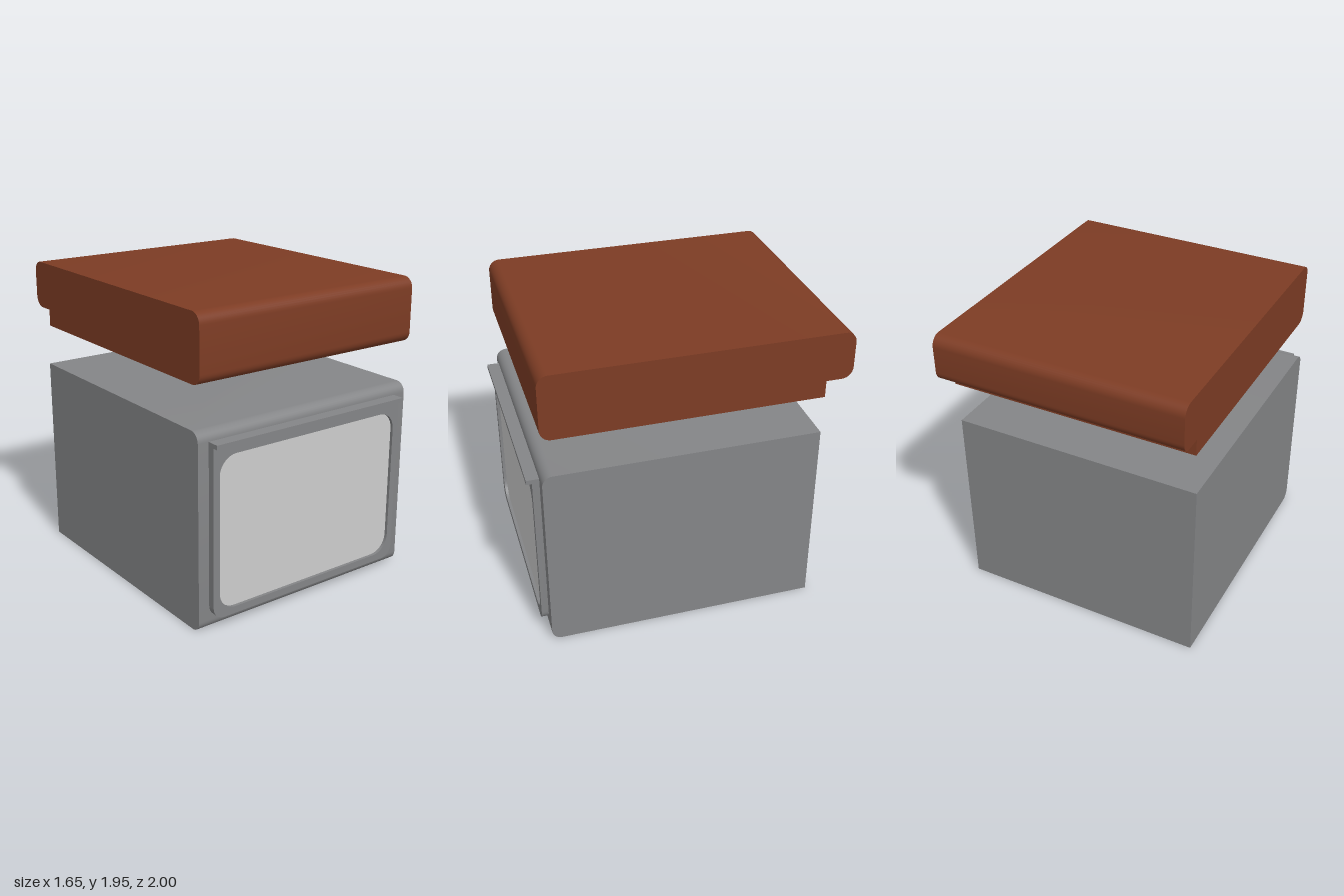
import * as THREE from 'three';
import { toCreasedNormals } from 'three/addons/utils/BufferGeometryUtils.js';

// Closed outline from corners [x, y, radius]; works for right-angled corners
function outline(corners, PathType = THREE.Shape) {
  const path = new PathType();
  const n = corners.length;
  const toward = (a, b, d) => {
    const len = Math.hypot(b[0] - a[0], b[1] - a[1]);
    return [a[0] + (b[0] - a[0]) * d / len, a[1] + (b[1] - a[1]) * d / len];
  };
  corners.forEach((c, i) => {
    const prev = corners[(i + n - 1) % n], next = corners[(i + 1) % n], r = c[2];
    const start = toward(c, prev, r);
    if (i === 0) path.moveTo(...start); else path.lineTo(...start);
    if (r > 0) {
      const k = r * 0.4477;
      path.bezierCurveTo(...toward(c, prev, k), ...toward(c, next, k), ...toward(c, next, r));
    }
  });
  path.closePath();
  return path;
}

const box = (x0, x1, y0, y1, rBottom, rTop) =>
  [[x0, y0, rBottom], [x1, y0, rBottom], [x1, y1, rTop], [x0, y1, rTop]];

function extrude(shape, depth) {
  const geo = new THREE.ExtrudeGeometry(shape, { depth, bevelEnabled: false, curveSegments: 8 });
  return toCreasedNormals(geo, 0.5);
}

export function createModel() {
  const group = new THREE.Group();
  const brown = new THREE.MeshStandardMaterial({ name: 'brown', color: 0x7d3c24 });
  const grey = new THREE.MeshStandardMaterial({ name: 'grey', color: 0x848587 });
  const pale = new THREE.MeshStandardMaterial({ name: 'paleGrey', color: 0xcdcdcd });

  const add = (name, geo, mat) => {
    const mesh = new THREE.Mesh(geo, mat);
    mesh.name = name;
    group.add(mesh);
    return mesh;
  };
  // Side profile in (-z, y), swept from x0 to x1
  const sweep = (name, corners, x0, x1, mat) =>
    add(name, extrude(outline(corners), x1 - x0).rotateY(Math.PI / 2).translate(x0, 0, 0), mat);
  // Front outline in (x, y), from z0 to z1
  const plate = (name, shape, z0, z1, mat) =>
    add(name, extrude(shape, z1 - z0).translate(0, 0, z0), mat);

  // Floating slab with rounded ends and a step under the back
  sweep('lid', [
    [-0.92, 1.53, 0.07], [0.83, 1.53, 0], [0.83, 1.64, 0],
    [1.0, 1.64, 0.07], [1.0, 1.95, 0.07], [-0.92, 1.95, 0.07],
  ], -0.81, 0.825, brown);

  // Main box, rounded along the top and bottom front edges
  sweep('body', [
    [-0.92, 0, 0.065], [0.835, 0, 0], [0.835, 1.265, 0], [-0.92, 1.265, 0.065],
  ], -0.825, 0.805, grey);

  // Raised front frame with a rounded opening
  const frame = outline(box(-0.75, 0.715, 0.08, 1.2, 0.08, 0));
  const opening = box(-0.705, 0.675, 0.125, 1.11, 0.12, 0.12);
  frame.holes.push(outline(opening, THREE.Path));
  plate('doorFrame', frame, 0.915, 0.965, grey);

  // Pale panel set into the opening
  plate('doorPanel', outline(opening), 0.94, 0.945, pale);

  // Lip along the top of the frame
  plate('doorHandle', outline(box(-0.75, 0.715, 1.172, 1.2, 0, 0)), 0.96, 1.0, grey);

  return group;
}
